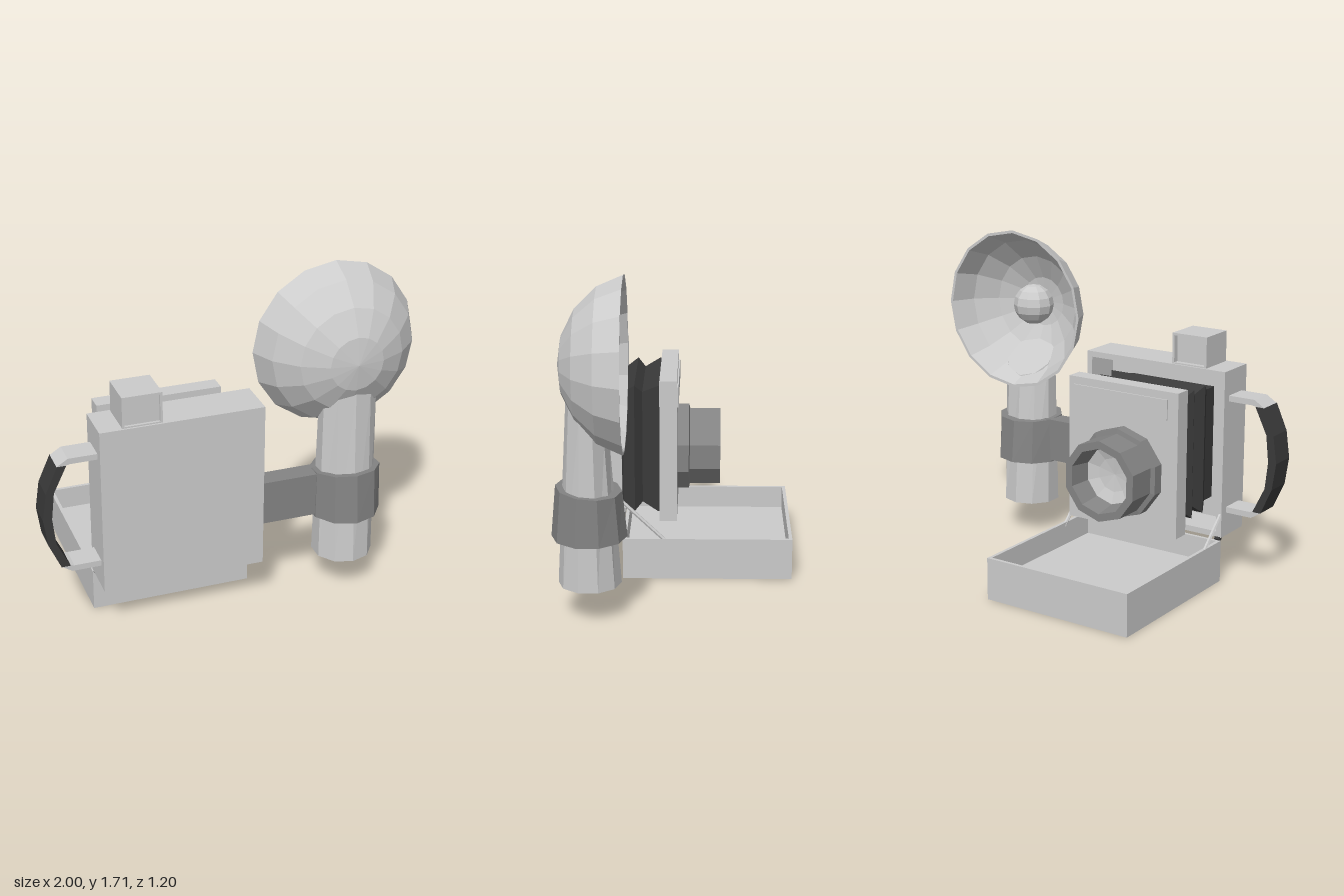
import * as THREE from 'three';

const paint = (color) => new THREE.MeshStandardMaterial({ color, flatShading: true, side: THREE.DoubleSide });

export function createModel() {
  const model = new THREE.Group();
  const light = paint(0xcccccc), mid = paint(0x848484), dark = paint(0x3a3a3a);

  const add = (name, geometry, material = light, parent = model) => {
    const mesh = new THREE.Mesh(geometry, material);
    mesh.name = name;
    parent.add(mesh);
    return mesh;
  };
  const group = (name) => {
    const g = new THREE.Group();
    g.name = name;
    model.add(g);
    return g;
  };
  // Box given by its limits on each axis
  const box = (x0, x1, y0, y1, z0, z1) =>
    new THREE.BoxGeometry(x1 - x0, y1 - y0, z1 - z0).translate((x0 + x1) / 2, (y0 + y1) / 2, (z0 + z1) / 2);
  const polygon = (pts) => new THREE.Shape(pts.map(([x, y]) => new THREE.Vector2(x, y)));
  const slab = (shape, z0, z1) =>
    new THREE.ExtrudeGeometry(shape, { depth: z1 - z0, bevelEnabled: false }).translate(0, 0, z0);
  // Rectangular frame with wall thickness t
  const frame = (x0, x1, y0, y1, z0, z1, t) => {
    const rect = (a, b, c, d) => [[a, c], [b, c], [b, d], [a, d]];
    const shape = polygon(rect(x0, x1, y0, y1));
    shape.holes.push(polygon(rect(x0 + t, x1 - t, y0 + t, y1 - t)));
    return slab(shape, z0, z1);
  };
  // Profile of [radius, z] turned around the z axis
  const turned = (pts, sides, start = 0) =>
    new THREE.LatheGeometry(pts.map(([r, z]) => new THREE.Vector2(r, z)), sides, start).rotateX(Math.PI / 2);

  // Body: shallow case open towards the lens
  const body = group('body');
  add('bodyWalls', frame(-0.72, 0.11, 0.235, 1.11, 0.28, 0.48, 0.03), light, body);
  add('bodyPanel', box(-0.72, 0.11, 0.235, 1.11, 0.48, 0.5), light, body);

  // Drop-down bed: open tray hinged below the body
  const bed = group('bed');
  add('bedWalls', frame(-0.72, 0.11, -0.28, 0.6, 0, 0.22, 0.018).rotateX(-Math.PI / 2), light, bed);
  add('bedFloor', box(-0.71, 0.1, 0.002, 0.1, -0.59, 0.27), light, bed);
  for (const x of [-0.7, 0.09]) {
    add('hinge', new THREE.CylinderGeometry(0.012, 0.012, 0.03, 8).rotateZ(Math.PI / 2).translate(x, 0.228, 0.285), dark, bed);
  }

  // Slanted struts holding the bed
  const strut = (x, y0, z0, y1, z1) => {
    const a = new THREE.Vector3(x, y0, z0), b = new THREE.Vector3(x, y1, z1);
    add('strut', new THREE.TubeGeometry(new THREE.LineCurve3(a, b), 1, 0.01, 6));
  };
  strut(0.1, 0.2, 0.05, 0.43, 0.29);
  strut(-0.71, 0.2, 0.12, 0.36, 0.29);

  // Pleated bellows with a square section
  const folds = [[1, 0.08], [1, 0.1], [0.88, 0.18], [1, 0.22], [0.88, 0.28], [1, 0.33], [0.88, 0.4], [0.88, 0.48]];
  add('bellows', turned(folds, 4, Math.PI / 4)
    .scale(0.285 * Math.SQRT2, 0.34 * Math.SQRT2, 1).translate(-0.295, 0.67, 0), dark);

  // Front standard with a plain plate
  add('frontStandard', box(-0.62, 0.03, 0.29, 1.045, 0, 0.09));
  add('standardPlate', box(-0.56, 0.0, 0.9, 1.005, -0.008, 0.01));

  // Lens: stepped ten-sided barrel with a hollow front
  const lens = group('lens');
  lens.position.set(-0.305, 0.595, 0);
  add('lensBarrel', turned([[0, 0.01], [0.235, 0.01], [0.235, -0.06], [0.21, -0.065], [0.21, -0.225],
    [0.17, -0.225], [0.15, -0.11]], 10), mid, lens);
  add('lensGlass', turned([[0.152, -0.11], [0.09, -0.09], [0, -0.08]], 10), light, lens);

  // Viewfinder with recessed windows
  const finder = group('viewfinder');
  add('finderHousing', frame(-0.605, -0.405, 1.105, 1.27, 0.29, 0.49, 0.012), light, finder);
  add('finderWindow', box(-0.6, -0.41, 1.11, 1.265, 0.32, 0.475), light, finder);

  // Carrying strap with its two mounts
  const strap = group('strap');
  add('strapBand', slab(polygon([[-0.92, 0.945], [-0.98, 0.81], [-1, 0.67], [-0.98, 0.53], [-0.92, 0.395],
    [-0.875, 0.395], [-0.94, 0.53], [-0.955, 0.67], [-0.94, 0.81], [-0.875, 0.945]]), 0.32, 0.46), dark, strap);
  const mount = [[-0.71, 0.31], [-0.865, 0.31], [-0.92, 0.275], [-0.875, 0.275], [-0.855, 0.28], [-0.71, 0.28]];
  for (const side of [1, -1]) {
    add('strapMount', slab(polygon(mount.map(([x, y]) => [x, 0.67 + side * y])), 0.325, 0.455), light, strap);
  }

  // Flash: sixteen-sided bowl with a bulb
  const flash = group('flash');
  flash.position.set(0.57, 1.28, 0);
  add('reflector', turned([[0, 0.555], [0.14, 0.535], [0.27, 0.47], [0.375, 0.365], [0.43, 0.24],
    [0.415, 0.24], [0.362, 0.36], [0.26, 0.458], [0.135, 0.52], [0, 0.54]], 16), light, flash);
  add('bulb', new THREE.SphereGeometry(0.11, 10, 8).translate(0, 0, 0.43), light, flash);

  // Flash handle: narrows towards the top, cut to meet the bowl
  const handle = new THREE.CylinderGeometry(0.148, 0.155, 1, 10);
  const p = handle.attributes.position;
  for (let i = 0; i < p.count; i++) {
    const top = p.getY(i) > 0;
    const z = 0.415 + p.getZ(i) * (top ? 0.7 : 1);
    p.setXYZ(i, 0.58 + p.getX(i), top ? 0.91 + (z - 0.32) : 0.18, z);
  }
  handle.computeVertexNormals();
  add('flashHandle', handle);

  // Clamp joining the handle to the body
  const clamp = new THREE.CylinderGeometry(0.18, 0.185, 0.245, 10);
  const c = clamp.attributes.position;
  for (let i = 0; i < c.count; i++) {
    if (c.getY(i) > 0) c.setXYZ(i, c.getX(i), c.getY(i) + c.getZ(i) * 0.08, c.getZ(i) * 0.9);
  }
  clamp.computeVertexNormals();
  add('clampRing', clamp.translate(0.58, 0.545, 0.415), mid);
  add('clampArm', box(0.09, 0.46, 0.435, 0.665, 0.355, 0.463), mid);

  return model;
}
